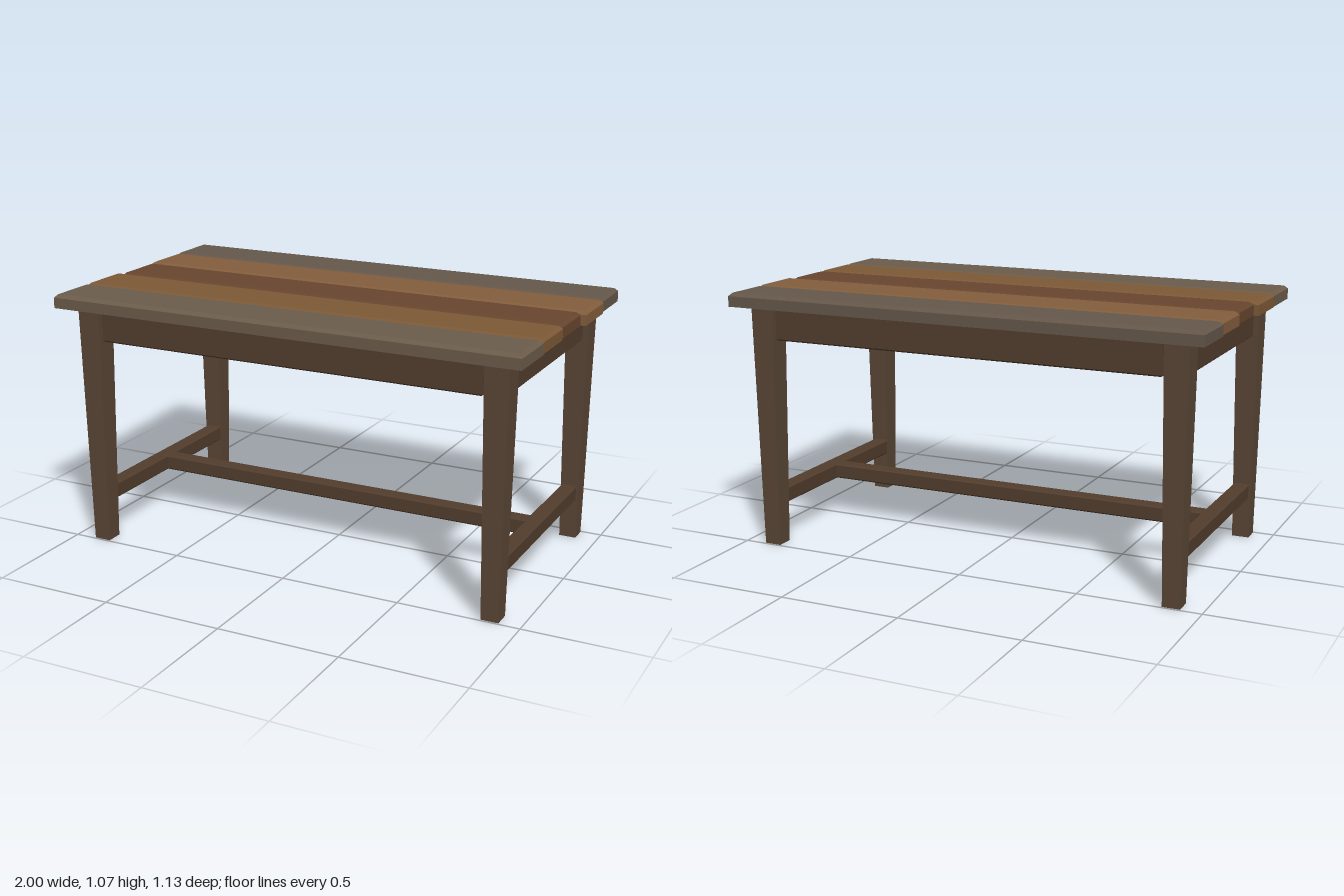
import * as THREE from 'three';

// Box whose horizontal rings sit at given heights, each inset by a given amount: rows = [[y, inset], ...] bottom to top
function ringBox(w, d, rows) {
  const n = rows.length - 1;
  const box = new THREE.BoxGeometry(w, n, d, 1, n, 1);
  const p = box.attributes.position;
  for (let i = 0; i < p.count; i++) {
    const [y, inset] = rows[Math.round(p.getY(i) + n / 2)];
    const x = p.getX(i), z = p.getZ(i);
    p.setXYZ(i, x - Math.sign(x) * inset, y, z - Math.sign(z) * inset);
  }
  const geo = box.toNonIndexed();
  geo.computeVertexNormals();
  return geo;
}

// Bar with small chamfers along its top and bottom edges
const bar = (w, d, y0, y1, c = 0.006) =>
  ringBox(w, d, [[y0, c], [y0 + c, 0], [y1 - c, 0], [y1, c]]);

export function createModel() {
  const table = new THREE.Group();
  table.name = 'table';
  const wood = (color) => new THREE.MeshStandardMaterial({ color, flatShading: true });
  const frameWood = wood(0x5a4636);
  const apronWood = wood(0x523d2d);

  const add = (name, geometry, material, x = 0, z = 0) => {
    const mesh = new THREE.Mesh(geometry, material);
    mesh.name = name;
    mesh.position.set(x, 0, z);
    table.add(mesh);
  };

  // Table top: five planks of slightly different length, chamfered on top
  const planks = [
    // x start, x end, z centre, colour
    [-0.997, 0.992, -0.456, 0x65574a],
    [-0.99, 1.0, -0.229, 0x835e3c],
    [-0.98, 0.98, 0.001, 0x68462e],
    [-1.0, 0.986, 0.229, 0x7d5937],
    [-0.997, 0.99, 0.456, 0x6c5c4b],
  ];
  planks.forEach(([x0, x1, z, color], i) => {
    const geo = ringBox(x1 - x0, 0.223, [[1.01, 0], [1.053, 0], [1.066, 0.013]]);
    add(`plank${i + 1}`, geo, wood(color), (x0 + x1) / 2, z);
  });

  // Four legs tapering towards the floor
  const leg = ringBox(0.098, 0.098, [[0, 0.0135], [1.01, 0]]);
  for (const sx of [-1, 1])
    for (const sz of [-1, 1])
      add(`${sz > 0 ? 'front' : 'back'}${sx > 0 ? 'Left' : 'Right'}Leg`, leg, frameWood, sx * 0.876, sz * 0.457);

  // Aprons under the top and stretchers between the legs
  const longApron = bar(1.64, 0.07, 0.872, 1.009);
  const endApron = bar(0.07, 0.794, 0.872, 1.009);
  const endStretcher = bar(0.065, 0.85, 0.168, 0.235);
  for (const s of [-1, 1]) {
    add(s > 0 ? 'frontApron' : 'backApron', longApron, apronWood, 0, s * 0.457);
    add(s > 0 ? 'leftApron' : 'rightApron', endApron, apronWood, s * 0.868, 0);
    add(s > 0 ? 'leftStretcher' : 'rightStretcher', endStretcher, apronWood, s * 0.872, 0);
  }
  add('centreStretcher', bar(1.7, 0.065, 0.17, 0.234), apronWood);

  return table;
}
